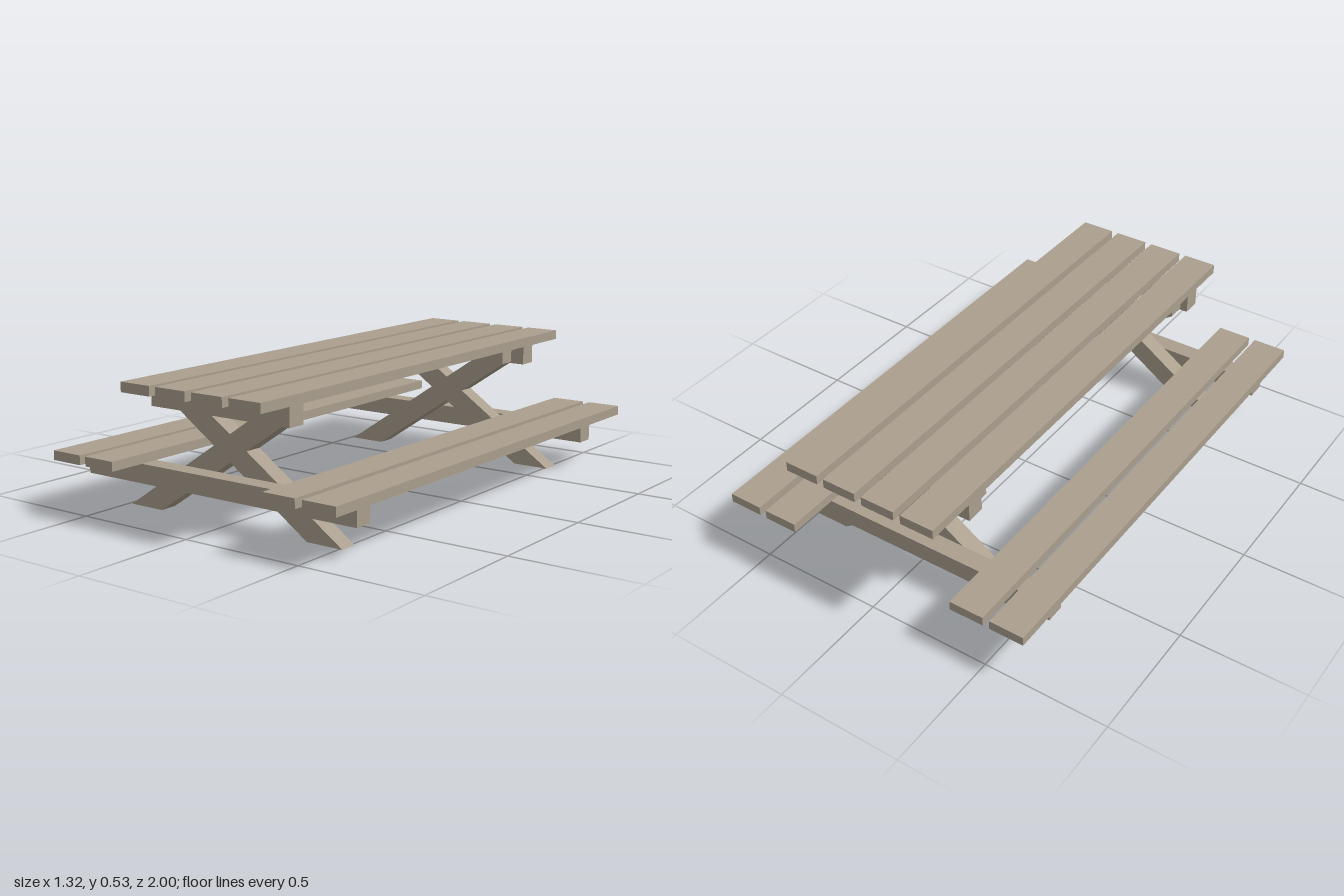
import * as THREE from 'three';

const wood = new THREE.MeshStandardMaterial({ color: 0xab9f8e, flatShading: true });

// Box given by its limits on each axis
function board(name, x0, x1, y0, y1, z0, z1) {
  const mesh = new THREE.Mesh(new THREE.BoxGeometry(x1 - x0, y1 - y0, z1 - z0), wood);
  mesh.position.set((x0 + x1) / 2, (y0 + y1) / 2, (z0 + z1) / 2);
  mesh.name = name;
  return mesh;
}

// Slanted leg with a flat foot and a clipped upper end; side mirrors it
function leg(name, side, z0, z1) {
  const axis = 0.0125; // the trestle sits slightly off centre
  const points = [[-0.5, 0], [-0.346, 0], [0.277, 0.42], [0.277, 0.475], [0.205, 0.475]]
    .map(([x, y]) => new THREE.Vector2(axis + side * x, y));
  const geometry = new THREE.ExtrudeGeometry(new THREE.Shape(points), { depth: z1 - z0, bevelEnabled: false });
  const mesh = new THREE.Mesh(geometry, wood);
  mesh.position.z = z0;
  mesh.name = name;
  return mesh;
}

export function createModel() {
  const table = new THREE.Group();
  table.name = 'picnicTable';

  // Table top planks
  const width = 0.139;
  for (const x of [-0.296, -0.128, 0.041, 0.209]) {
    table.add(board('topPlank', x, x + width, 0.489, 0.527, -1, 1));
  }

  // Bench planks, two on each side
  for (const x of [-0.66, -0.493, 0.35, 0.519]) {
    table.add(board('seatPlank', x, x + width, 0.19, 0.227, -1, 1));
  }

  // Trestles: beams on the outer face, crossed legs on the inner face
  const trestles = [
    { name: 'frontTrestle', beam: [0.774, 0.849], legs: [0.703, 0.774] },
    { name: 'backTrestle', beam: [-0.792, -0.717], legs: [-0.717, -0.645] },
  ];
  for (const { name, beam, legs } of trestles) {
    const trestle = new THREE.Group();
    trestle.name = name;
    trestle.add(
      board('topBeam', -0.296, 0.348, 0.415, 0.489, ...beam),
      board('seatBeam', -0.631, 0.629, 0.115, 0.19, ...beam),
      leg('rightLeg', 1, ...legs),
      leg('leftLeg', -1, ...legs),
    );
    table.add(trestle);
  }
  return table;
}
